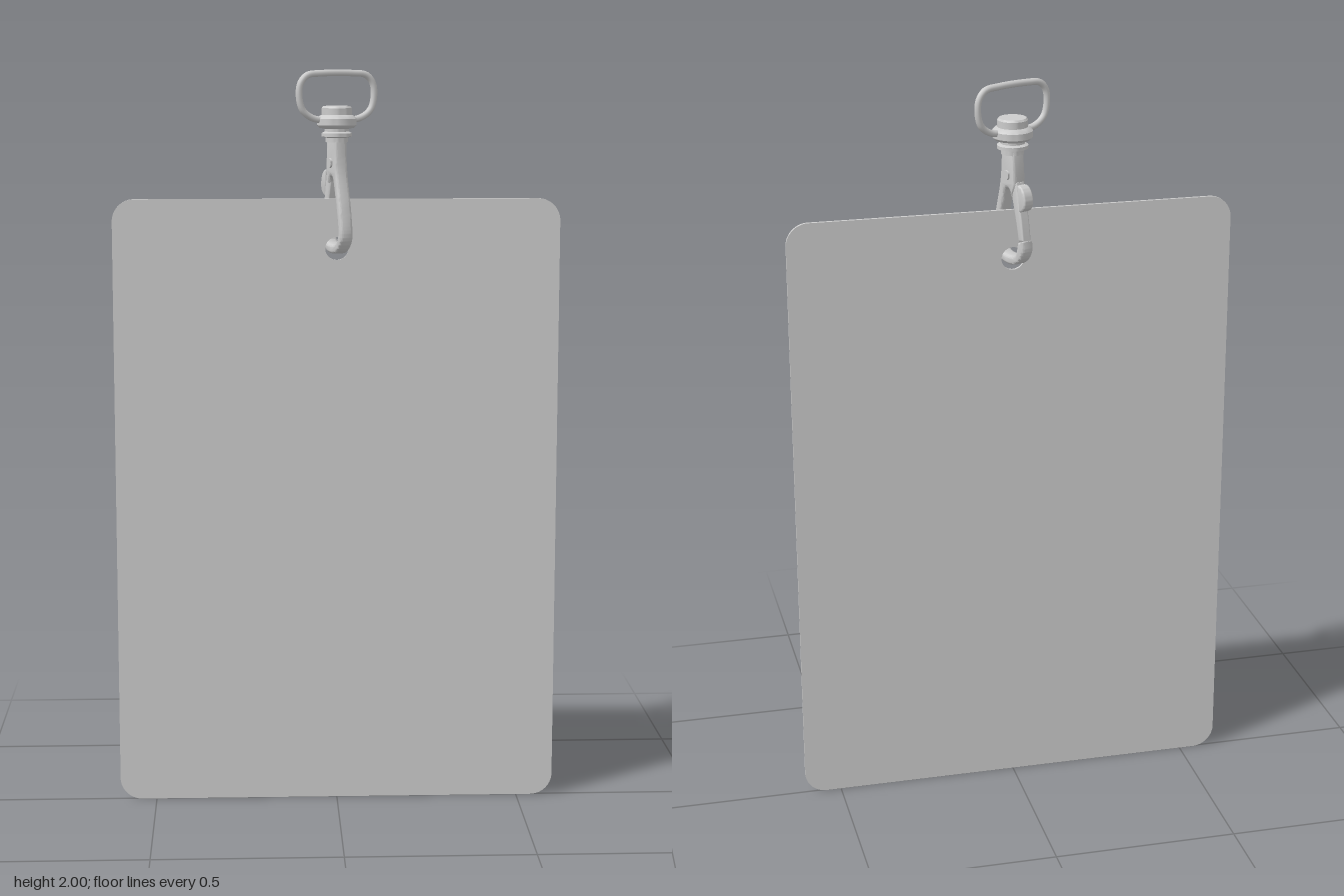
import * as THREE from 'three';
import { toCreasedNormals } from 'three/addons/utils/BufferGeometryUtils.js';

const material = new THREE.MeshStandardMaterial({ color: 0xcccccc });

function part(name, geometry, parent) {
  const mesh = new THREE.Mesh(geometry, material);
  mesh.name = name;
  parent.add(mesh);
  return mesh;
}

const vectors = (pairs) => pairs.map(([x, y]) => new THREE.Vector2(x, y));

// Extrude a side profile (z, y) into a bevelled plate centred on x = 0
function sidePlate(shape, thickness, bevel) {
  const depth = thickness - 2 * bevel;
  const geometry = new THREE.ExtrudeGeometry(shape, {
    depth, curveSegments: 12, bevelThickness: bevel, bevelSize: bevel,
    bevelOffset: -bevel, bevelSegments: 3,
  });
  geometry.translate(0, 0, -depth / 2);
  geometry.rotateY(-Math.PI / 2);
  return toCreasedNormals(geometry, 0.7);
}

function makeCard() {
  const w = 0.6, h = 1.66, r = 0.06, depth = 0.008;
  const shape = new THREE.Shape();
  shape.moveTo(-w + r, 0);
  shape.lineTo(w - r, 0);
  shape.absarc(w - r, r, r, -Math.PI / 2, 0);
  shape.absarc(w - r, h - r, r, 0, Math.PI / 2);
  shape.absarc(-w + r, h - r, r, Math.PI / 2, Math.PI);
  shape.absarc(-w + r, r, r, Math.PI, Math.PI * 1.5);
  // Hole the hook passes through
  const hole = new THREE.Path();
  hole.absarc(0, 1.527, 0.031, 0, Math.PI * 2, true);
  shape.holes.push(hole);
  const geometry = new THREE.ExtrudeGeometry(shape, { depth, bevelEnabled: false, curveSegments: 16 });
  geometry.translate(0, 0, -depth / 2);
  return toCreasedNormals(geometry, 0.6);
}

export function createModel() {
  const model = new THREE.Group();
  model.name = 'cardOnClip';
  part('card', makeCard(), model);

  // The whole clip is turned about the vertical
  const clip = new THREE.Group();
  clip.name = 'swivelClip';
  clip.rotation.y = 0.37;
  model.add(clip);

  // Rounded D ring, threaded through the swivel
  const ringHalf = [[0.03, 1.868], [0.07, 1.874], [0.098, 1.895], [0.108, 1.93],
    [0.104, 1.965], [0.085, 1.986], [0.045, 1.991]];
  const ringPoints = [
    ...ringHalf,
    ...ringHalf.map(([x, y]) => [-x, y]).reverse(),
  ].map(([x, y]) => new THREE.Vector3(x, y, 0));
  const ringCurve = new THREE.CatmullRomCurve3(ringPoints, true);
  part('ring', new THREE.TubeGeometry(ringCurve, 80, 0.009, 10, true), clip);

  // Swivel barrel: cap, collar, neck and lower flange
  const barrel = new THREE.LatheGeometry(vectors([
    [0, 1.81], [0.03, 1.81], [0.03, 1.822], [0.041, 1.825], [0.041, 1.834],
    [0.032, 1.838], [0.032, 1.845], [0.046, 1.848], [0.053, 1.855], [0.053, 1.872],
    [0.047, 1.879], [0.04, 1.882], [0.04, 1.9], [0.036, 1.905], [0, 1.905],
  ]), 32);
  part('swivelBarrel', toCreasedNormals(barrel, 0.6), clip);

  // Hook: head, front arm and curved tip
  const hook = new THREE.Shape();
  hook.moveTo(-0.027, 1.82);
  hook.lineTo(-0.034, 1.735);
  hook.lineTo(-0.017, 1.7);
  hook.splineThru(vectors([[-0.01, 1.715], [0, 1.72], [0.01, 1.715], [0.018, 1.695],
    [0.036, 1.63], [0.047, 1.575], [0.037, 1.55], [0.018, 1.54], [-0.018, 1.54],
    [-0.037, 1.55], [-0.046, 1.582]]));
  hook.lineTo(-0.068, 1.588);
  hook.splineThru(vectors([[-0.069, 1.56], [-0.053, 1.533], [-0.022, 1.516],
    [0.022, 1.516], [0.053, 1.533], [0.069, 1.565], [0.059, 1.635], [0.034, 1.735],
    [0.027, 1.82]]));
  hook.closePath();
  part('hook', sidePlate(hook, 0.036, 0.007), clip);

  // Sprung gate closing the back of the hook
  const gate = new THREE.Shape(vectors([[-0.015, 1.745], [-0.015, 1.7], [-0.035, 1.63],
    [-0.045, 1.585], [-0.066, 1.59], [-0.058, 1.64], [-0.035, 1.74]]));
  part('gate', sidePlate(gate, 0.028, 0.005), clip);

  // Thumb tab on the gate
  const tab = new THREE.Shape();
  tab.moveTo(-0.04, 1.735);
  tab.bezierCurveTo(-0.06, 1.74, -0.078, 1.715, -0.075, 1.69);
  tab.bezierCurveTo(-0.073, 1.675, -0.062, 1.668, -0.05, 1.665);
  tab.closePath();
  part('thumbTab', sidePlate(tab, 0.03, 0.005), clip);

  // Pivot pin through the head
  const pin = new THREE.CylinderGeometry(0.013, 0.013, 0.046, 20);
  pin.rotateZ(Math.PI / 2);
  pin.translate(0, 1.755, 0);
  part('pivotPin', toCreasedNormals(pin, 0.7), clip);

  return model;
}
